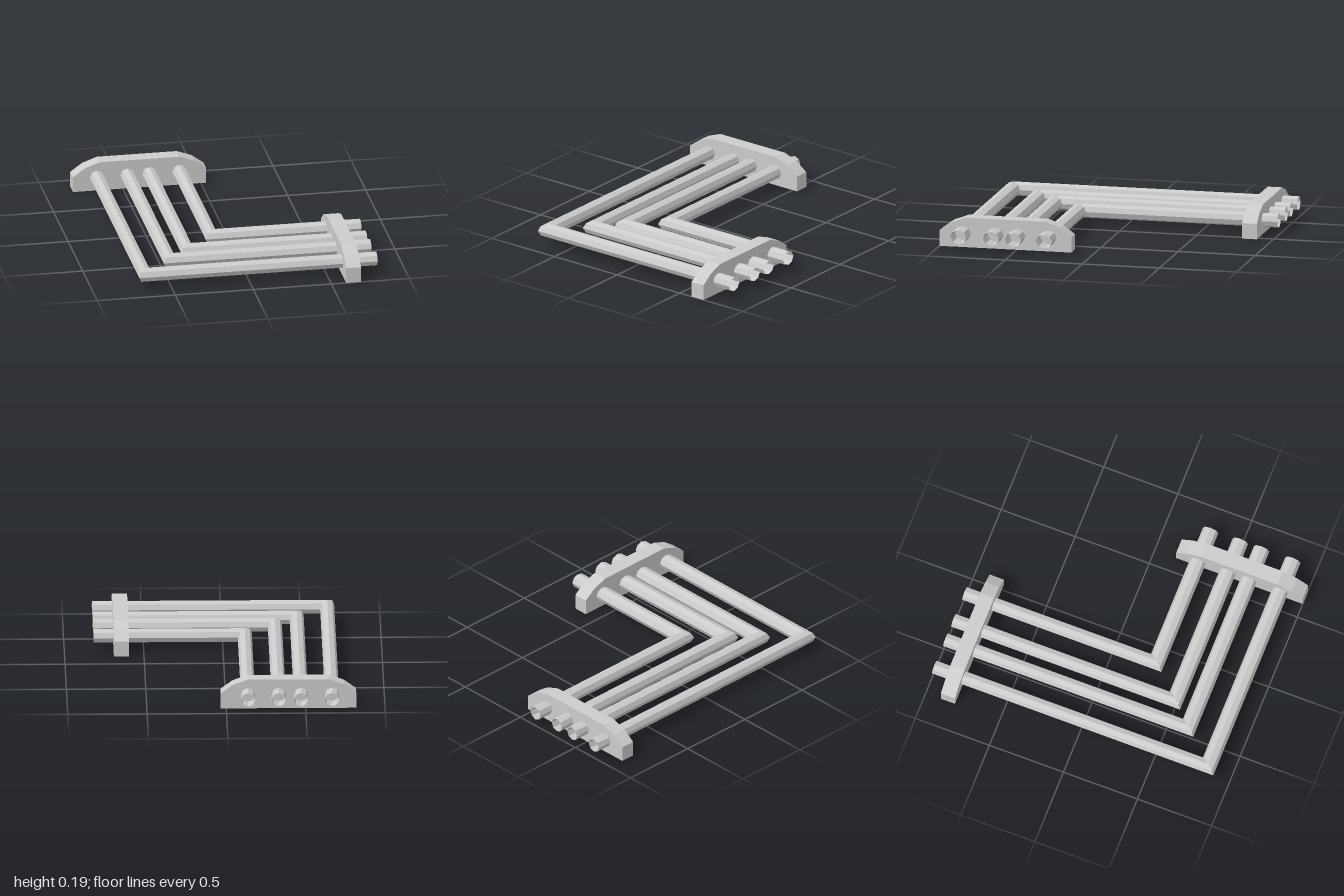
import * as THREE from 'three';

const BACK_END = -1, SIDE_END = 0.816, PIPE_Y = 0.09;
const RX = 0.045, RY = 0.045, RZ = 0.052, SIDES = 8;

const material = new THREE.MeshStandardMaterial({ color: 0xcccccc, flatShading: true });
const pipeMaterial = new THREE.MeshStandardMaterial({
  color: 0xcccccc, flatShading: true, side: THREE.DoubleSide,
});

// Open octagonal pipe running forward along z, mitred at (cx, cz), then along +x
function pipeGeometry(cx, cz) {
  const positions = [], index = [];
  for (let ring = 0; ring < 3; ring++) {
    for (let i = 0; i < SIDES; i++) {
      const a = (i / SIDES) * Math.PI * 2;
      const u = Math.cos(a);
      const x = ring === 2 ? SIDE_END : cx + u * RX;
      const z = ring === 0 ? BACK_END : cz - u * RZ;
      positions.push(x, PIPE_Y + Math.sin(a) * RY, z);
    }
  }
  for (let ring = 0; ring < 2; ring++) {
    for (let i = 0; i < SIDES; i++) {
      const j = (i + 1) % SIDES;
      const a = ring * SIDES + i, b = ring * SIDES + j;
      index.push(a, b, b + SIDES, a, b + SIDES, a + SIDES);
    }
  }
  const geometry = new THREE.BufferGeometry();
  geometry.setAttribute('position', new THREE.Float32BufferAttribute(positions, 3));
  geometry.setIndex(index);
  geometry.computeVertexNormals();
  return geometry;
}

// Bracket plate with a bevelled top, centred on its length and thickness
function bracketGeometry() {
  const half = [[0.427, 0], [0.427, 0.1], [0.352, 0.155], [0.257, 0.19]];
  const mirrored = half.map(([x, y]) => [-x, y]).reverse();
  const shape = new THREE.Shape([...half, ...mirrored].map(([x, y]) => new THREE.Vector2(x, y)));
  const depth = 0.095;
  return new THREE.ExtrudeGeometry(shape, { depth, bevelEnabled: false })
    .translate(0, 0, -depth / 2);
}

export function createModel() {
  const group = new THREE.Group();
  group.name = 'bentPipeRack';

  // Four nested pipes, outermost first
  const corners = [[-0.666, 0.848], [-0.47, 0.637], [-0.33, 0.494], [-0.137, 0.293]];
  corners.forEach(([cx, cz], i) => {
    const pipe = new THREE.Mesh(pipeGeometry(cx, cz), pipeMaterial);
    pipe.name = `pipe${i + 1}`;
    group.add(pipe);
  });

  // Brackets holding the two ends of the bundle
  const backBracket = new THREE.Mesh(bracketGeometry(), material);
  backBracket.name = 'backBracket';
  backBracket.position.set(-0.392, 0, -0.85);
  group.add(backBracket);

  const sideBracket = new THREE.Mesh(bracketGeometry(), material);
  sideBracket.name = 'sideBracket';
  sideBracket.rotation.y = Math.PI / 2;
  sideBracket.position.set(0.642, 0, 0.573);
  group.add(sideBracket);

  return group;
}
